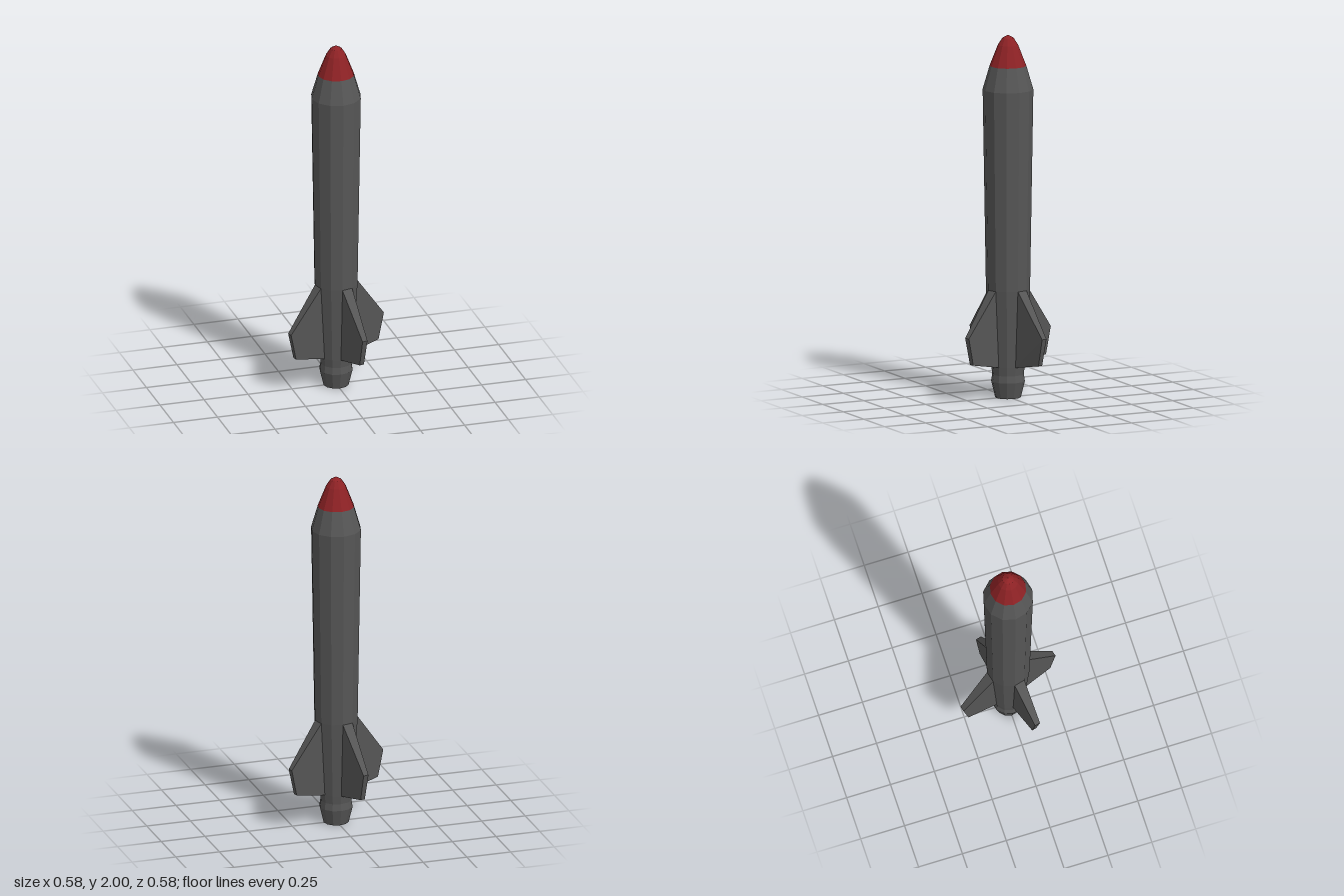
import * as THREE from 'three';

const SIDES = 12;

export function createModel() {
  const model = new THREE.Group();
  model.name = 'rocket';

  const grey = new THREE.MeshStandardMaterial({ color: 0x565656, flatShading: true });
  grey.name = 'darkGrey';
  const red = new THREE.MeshStandardMaterial({ color: 0x8e2225, flatShading: true });
  red.name = 'deepRed';

  // Turned part from [radius, height] pairs, listed bottom to top
  const turned = (name, profile, material) => {
    const points = profile.map(([r, y]) => new THREE.Vector2(r, y));
    const mesh = new THREE.Mesh(new THREE.LatheGeometry(points, SIDES), material);
    mesh.name = name;
    model.add(mesh);
  };

  // Nozzle with a recessed opening underneath
  turned('nozzle', [[0, 0.06], [0.03, 0.06], [0.047, 0], [0.07, 0], [0.092, 0.09], [0.086, 0.128]], grey);

  // Long body, tapering towards the tail, with a sloped shoulder
  turned('body', [[0.086, 0.128], [0.091, 0.175], [0.12, 0.6], [0.138, 1.7], [0.1, 1.83]], grey);

  // Rounded nose cone
  turned('noseCone', [[0.1, 1.83], [0.055, 1.945], [0.031, 1.983], [0, 2]], red);

  // Fin: a box reshaped by corner; each entry is [half width, height, radius]
  const corners = {
    rootTop: [0.031, 0.6, 0.115],
    rootBottom: [0.0235, 0.175, 0.087],
    tipTop: [0.0155, 0.358, 0.297],
    tipBottom: [0.0135, 0.207, 0.264],
  };
  const finGeometry = new THREE.BoxGeometry(2, 2, 2);
  const pos = finGeometry.attributes.position;
  for (let i = 0; i < pos.count; i++) {
    const key = (pos.getZ(i) > 0 ? 'tip' : 'root') + (pos.getY(i) > 0 ? 'Top' : 'Bottom');
    const [halfWidth, height, radius] = corners[key];
    pos.setXYZ(i, Math.sign(pos.getX(i)) * halfWidth, height, radius);
  }
  finGeometry.computeVertexNormals();

  // Four fins, each seated on the middle of a body facet
  for (let i = 0; i < 4; i++) {
    const fin = new THREE.Mesh(finGeometry, grey);
    fin.name = `fin${i + 1}`;
    fin.rotation.y = Math.PI / SIDES + (i * Math.PI) / 2;
    model.add(fin);
  }

  return model;
}
